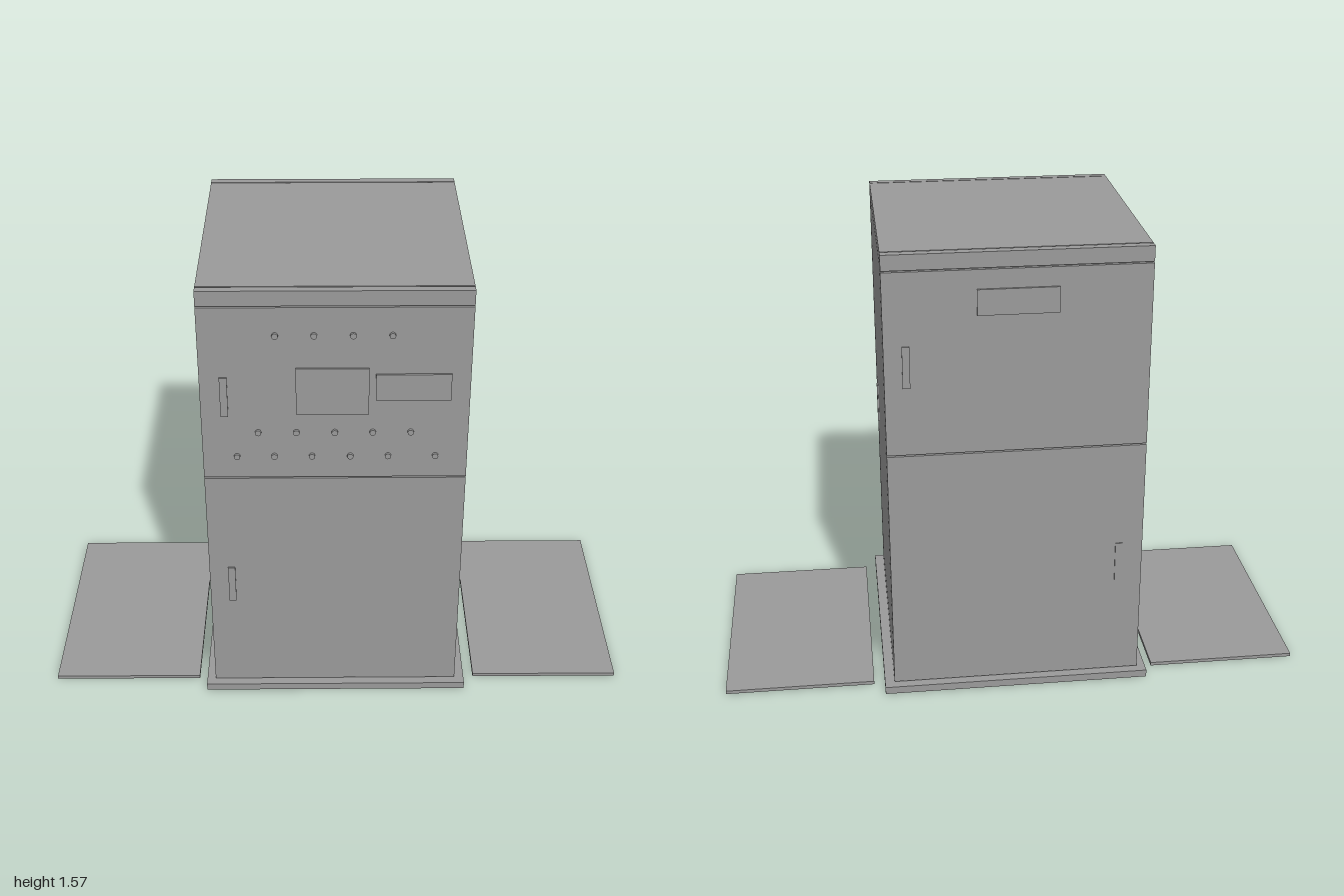
import * as THREE from 'three';

export function createModel() {
  const root = new THREE.Group();
  const mat = new THREE.MeshStandardMaterial({ color: 0x9b9b9b });

  const add = (name, geo) => {
    const m = new THREE.Mesh(geo, mat);
    m.name = name;
    root.add(m);
    return m;
  };
  // Box given by its lower and upper limits on each axis
  const box = (name, x0, x1, y0, y1, z0, z1) => {
    const m = add(name, new THREE.BoxGeometry(x1 - x0, y1 - y0, z1 - z0));
    m.position.set((x0 + x1) / 2, (y0 + y1) / 2, (z0 + z1) / 2);
  };

  const X0 = -0.43, X1 = 0.42, TOP = 1.566, FRONT = 0.435, BACK = -0.437;

  // Plinth and the two floor mats
  box('plinth', -0.46, 0.453, 0, 0.026, -0.464, 0.462);
  box('rightMat', -1, -0.49, 0, 0.012, -0.4, 0.4);
  box('leftMat', 0.49, 1, 0, 0.012, -0.4, 0.4);

  // Inner body, seen only at the bottom of the gaps
  box('innerBody', X0 + 0.004, X1 - 0.004, 0.026, TOP - 0.01, -0.425, 0.425);
  box('roof', X0, X1, TOP - 0.03, TOP, -0.403, 0.403);

  // Side walls: a frame with an inset panel and a thin groove between
  const rect = (P, a, b, c, d) =>
    new P([[a, c], [b, c], [b, d], [a, d]].map(p => new THREE.Vector2(...p)));
  for (const [side, x] of [['right', X0], ['left', X1 - 0.02]]) {
    const frame = rect(THREE.Shape, -0.403, 0.403, 0.026, TOP);
    frame.holes.push(rect(THREE.Path, -0.355, 0.355, 0.072, 1.52));
    const f = add(side + 'Frame', new THREE.ExtrudeGeometry(frame, { depth: 0.02, bevelEnabled: false }));
    f.rotation.y = Math.PI / 2;
    f.position.x = x;
    box(side + 'Panel', x, x + 0.02, 0.077, 1.515, -0.35, 0.35);
  }

  // Doors and top trim on the front and the back
  for (const [side, z0, z1] of [['front', 0.408, FRONT], ['back', BACK, -0.408]]) {
    box(side + 'LowerDoor', X0, X1, 0.03, 0.889, z0, z1);
    box(side + 'UpperDoor', X0, X1, 0.894, 1.51, z0, z1);
    box(side + 'TopTrim', X0, X1, 1.515, TOP, z0, z1);
  }

  // Slim flat handles
  const H = 0.07, W = 0.012;
  const handle = (name, x, y, z0, z1) => box(name, x - W, x + W, y - H, y + H, z0, z1);
  handle('frontUpperHandle', -0.355, 1.197, 0.43, FRONT + 0.005);
  handle('frontLowerHandle', -0.355, 0.457, 0.43, FRONT + 0.005);
  handle('backUpperHandle', 0.35, 1.197, BACK - 0.005, -0.43);
  handle('backLowerHandle', -0.35, 0.457, BACK - 0.004, -0.43);
  box('sideHandle', 0.41, X1 + 0.005, 0.71, 0.85, 0.268 - W, 0.268 + W);

  // Displays
  box('mainScreen', -0.128, 0.102, 1.135, 1.3, 0.43, FRONT + 0.007);
  box('smallScreen', 0.123, 0.36, 1.185, 1.278, 0.43, FRONT + 0.007);
  box('backPlate', -0.135, 0.125, 1.362, 1.447, BACK - 0.007, -0.43);

  // Rows of push buttons
  const rows = [
    [1.415, [-0.19, -0.07, 0.051, 0.172]],
    [1.066, [-0.25, -0.128, -0.006, 0.115, 0.236]],
    [0.976, [-0.32, -0.2, -0.079, 0.044, 0.165, 0.317]],
  ];
  for (const [y, xs] of rows) for (const x of xs) {
    const b = add('button', new THREE.CylinderGeometry(0.01, 0.01, 0.014, 16));
    b.rotation.x = Math.PI / 2;
    b.position.set(x, y, 0.437);
  }
  return root;
}
